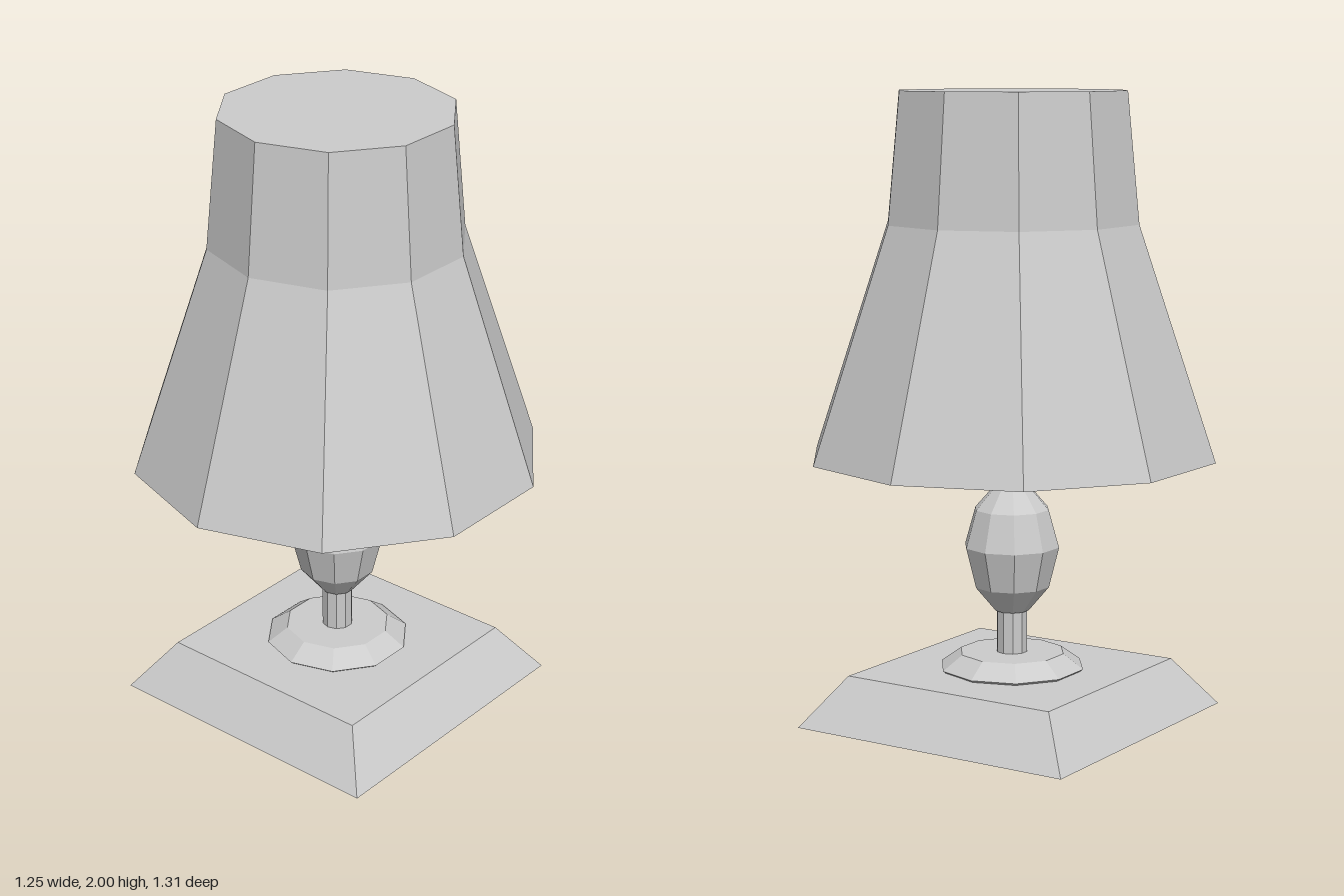
import * as THREE from 'three';

const SIDES = 10;

export function createModel() {
  const lamp = new THREE.Group();
  lamp.name = 'tableLamp';

  const solid = new THREE.MeshStandardMaterial({ color: 0xcccccc, flatShading: true });
  const thin = new THREE.MeshStandardMaterial({ color: 0xcccccc, flatShading: true, side: THREE.DoubleSide });

  const add = (name, geometry, material = solid) => {
    const mesh = new THREE.Mesh(geometry, material);
    mesh.name = name;
    lamp.add(mesh);
    return mesh;
  };
  // Ten-sided turned part from [radius, height] pairs, bottom to top
  const turned = (profile) =>
    new THREE.LatheGeometry(profile.map(([r, y]) => new THREE.Vector2(r, y)), SIDES);

  // Square base with sloping sides
  const baseHeight = 0.16;
  const base = new THREE.CylinderGeometry(0.375 * Math.SQRT2, 0.49 * Math.SQRT2, baseHeight, 4);
  base.rotateY(Math.PI / 4);
  base.translate(0, baseHeight / 2, 0);
  add('base', base);

  // Bevelled collar on the base
  add('collar', turned([[0.222, 0.158], [0.235, 0.168], [0.17, 0.215], [0, 0.215]]));

  // Stem running up inside the shade
  const stemBottom = 0.2, stemTop = 1.98;
  const stem = new THREE.CylinderGeometry(0.05, 0.05, stemTop - stemBottom, SIDES);
  stem.translate(0, (stemBottom + stemTop) / 2, 0);
  add('stem', stem);

  // Faceted swelling on the stem
  add('stemKnob', turned([
    [0, 0.35], [0.055, 0.35], [0.122, 0.43], [0.155, 0.56], [0.121, 0.68], [0.055, 0.755], [0, 0.755],
  ]));

  // Shade, open below and closed on top
  add('shade', turned([[0.655, 0.855], [0.407, 1.59], [0.368, 2], [0, 2]]), thin);

  return lamp;
}
